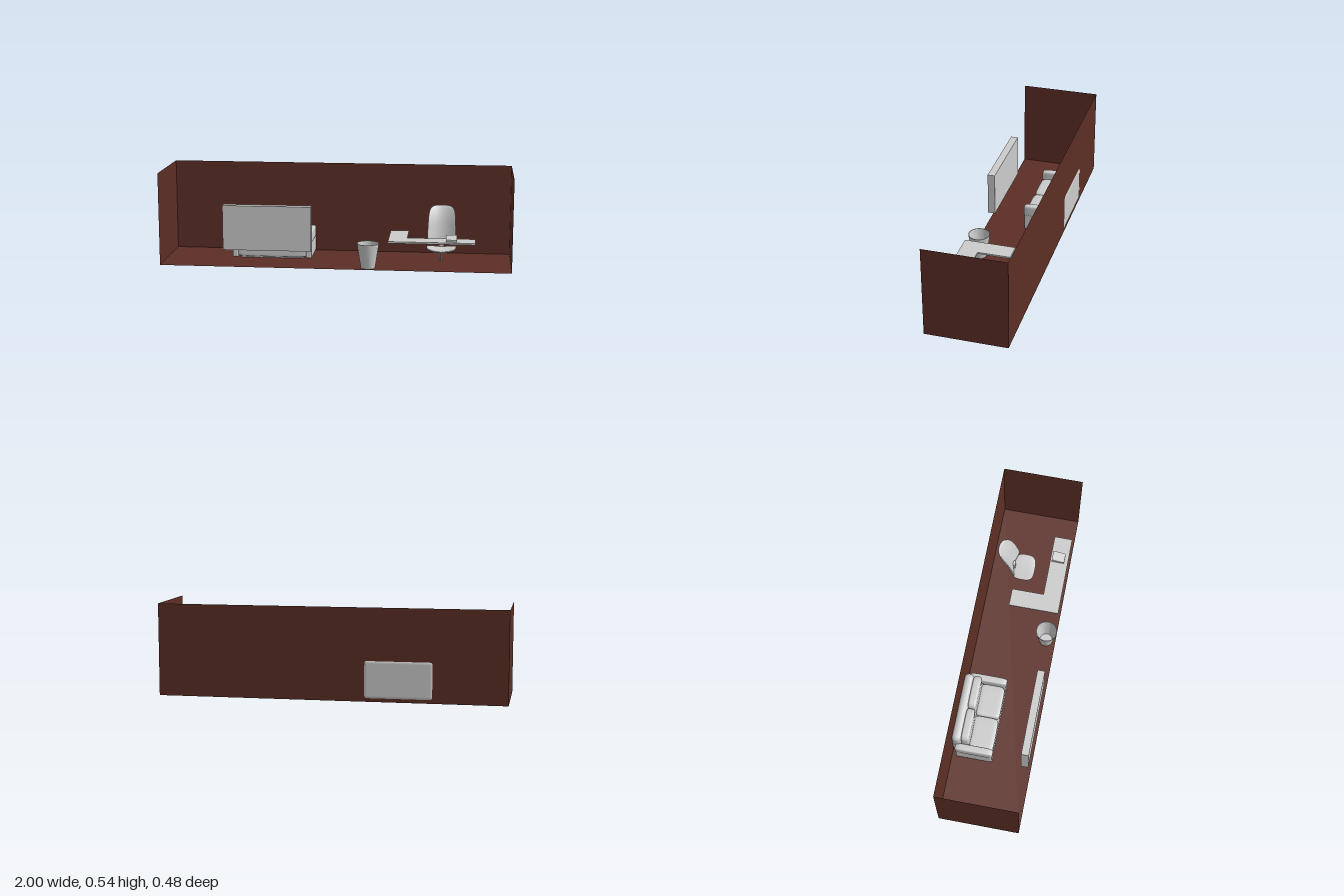
import * as THREE from 'three';
import { mergeVertices, toCreasedNormals } from 'three/addons/utils/BufferGeometryUtils.js';
import { RoundedBoxGeometry } from 'three/addons/geometries/RoundedBoxGeometry.js';

const grey = new THREE.MeshStandardMaterial({ color: 0xcccccc });
const greyOpen = new THREE.MeshStandardMaterial({ color: 0xcccccc, side: THREE.DoubleSide });
const brown = new THREE.MeshStandardMaterial({ color: 0x5c2e25, side: THREE.DoubleSide });

function add(parent, name, geometry, material = grey) {
  const mesh = new THREE.Mesh(geometry, material);
  mesh.name = name;
  parent.add(mesh);
  return mesh;
}

// Box given by its limits; a radius rounds the edges
function block(parent, name, [x0, x1], [y0, y1], [z0, z1], radius = 0) {
  const size = [x1 - x0, y1 - y0, z1 - z0];
  const geometry = radius
    ? new RoundedBoxGeometry(...size, 4, radius)
    : new THREE.BoxGeometry(...size);
  const mesh = add(parent, name, geometry);
  mesh.position.set((x0 + x1) / 2, (y0 + y1) / 2, (z0 + z1) / 2);
  return mesh;
}

// Soft pad: a cube rounded into a superellipsoid, then placed by a rule
function pad(parent, name, power, place) {
  const geometry = new THREE.BoxGeometry(2, 2, 2, 14, 14, 14);
  const pos = geometry.attributes.position;
  const p = new THREE.Vector3();
  for (let i = 0; i < pos.count; i++) {
    p.fromBufferAttribute(pos, i);
    const sum = p.toArray().reduce((s, c) => s + Math.abs(c) ** power, 0);
    p.multiplyScalar(sum ** (-1 / power));
    pos.setXYZ(i, ...place(p.x, p.y, p.z));
  }
  geometry.deleteAttribute('normal');
  geometry.deleteAttribute('uv');
  const smooth = mergeVertices(geometry, 1e-6);
  smooth.computeVertexNormals();
  return add(parent, name, smooth);
}

// Pad filling a box given by its limits
function cushion(parent, name, [x0, x1], [y0, y1], [z0, z1], power = 7) {
  const mix = (a, b, t) => (a + b) / 2 + ((b - a) / 2) * t;
  return pad(parent, name, power, (x, y, z) => [mix(x0, x1, x), mix(y0, y1, y), mix(z0, z1, z)]);
}

function makeRoom() {
  const room = new THREE.Group();
  room.name = 'room';
  const floorY = 0.005, top = 0.537, back = -0.235, front = 0.232;
  const h = top - floorY, d = front - back, midY = (top + floorY) / 2, midZ = (front + back) / 2;
  const floor = add(room, 'floor', new THREE.PlaneGeometry(2, d), brown);
  floor.rotation.x = -Math.PI / 2;
  floor.position.set(0, floorY, midZ);
  add(room, 'backWall', new THREE.PlaneGeometry(2, h), brown).position.set(0, midY, back);
  for (const side of [-1, 1]) {
    const wall = add(room, side > 0 ? 'leftWall' : 'rightWall', new THREE.PlaneGeometry(d, h), brown);
    wall.rotation.y = (-side * Math.PI) / 2;
    wall.position.set(side, midY, midZ);
  }
  return room;
}

function makeSofa() {
  const sofa = new THREE.Group();
  sofa.name = 'sofa';
  const half = 0.205;
  block(sofa, 'sofaBase', [-0.185, 0.185], [0, 0.07], [-0.2, -0.012]);
  cushion(sofa, 'sofaFrontRail', [-half, half], [0.012, 0.075], [-0.06, 0], 8);
  block(sofa, 'sofaBack', [-half, half], [0.012, 0.25], [-0.239, -0.18], 0.028);
  for (const side of [-1, 1]) {
    // Arm: flat panel under a padded roll
    const span = (a, b) => (side > 0 ? [a, b] : [-b, -a]);
    block(sofa, 'sofaArm', span(0.2, 0.234), [0.007, 0.15], [-0.212, 0], 0.008);
    cushion(sofa, 'sofaArmPad', span(0.195, 0.238), [0.1, 0.168], [-0.216, 0.005], 6);
    cushion(sofa, 'sofaSeatCushion', span(0.001, 0.196), [0.068, 0.125], [-0.145, 0], 7);
    cushion(sofa, 'sofaBackCushion', span(0.001, 0.198), [0.11, 0.255], [-0.186, -0.135], 6);
  }
  sofa.position.x = -0.387;
  return sofa;
}

function makeChair() {
  const chair = new THREE.Group();
  chair.name = 'chair';
  // Dished seat
  pad(chair, 'chairSeat', 3.2, (x, y, z) => [
    0.085 * x, 0.07 + 0.009 * y + 0.013 * x * x, -0.038 + 0.067 * z,
  ]);
  // Reclined back that wraps forward at the sides
  pad(chair, 'chairBack', 5, (x, y, z) => [
    (0.081 - 0.005 * y) * x,
    0.198 + 0.107 * y,
    -0.138 - 0.033 * y - 0.018 * Math.max(0, y) ** 2 + 0.03 * x * x + 0.009 * z,
  ]);
  block(chair, 'chairBackBracket', [-0.015, 0.015], [0.066, 0.12], [-0.118, -0.09]);
  const stem = add(chair, 'chairStem', new THREE.CylinderGeometry(0.005, 0.005, 0.06, 16));
  stem.position.set(0, 0.036, -0.04);
  chair.position.x = 0.6;
  return chair;
}

function makeDesk() {
  const desk = new THREE.Group();
  desk.name = 'desk';
  // L-shaped top, drawn in x and -z
  const shape = new THREE.Shape([
    [0.305, -0.222], [0.795, -0.222], [0.795, -0.115],
    [0.41, -0.115], [0.41, 0.075], [0.305, 0.075],
  ].map(([x, y]) => new THREE.Vector2(x, y)));
  const top = add(desk, 'deskTop', new THREE.ExtrudeGeometry(shape, { depth: 0.01, bevelEnabled: false }));
  top.rotation.x = -Math.PI / 2;
  top.position.y = 0.16;
  // Small wedge-shaped device, higher at the back
  const wedge = new THREE.Shape([
    [-0.2, 0.17], [-0.125, 0.17], [-0.125, 0.195], [-0.2, 0.181],
  ].map(([x, y]) => new THREE.Vector2(x, y)));
  const device = add(desk, 'deskDevice', new THREE.ExtrudeGeometry(wedge, { depth: 0.06, bevelEnabled: false }));
  device.rotation.y = Math.PI / 2;
  device.position.x = 0.63;
  return desk;
}

function makeBin() {
  const profile = [
    [0, 0], [0.04, 0], [0.063, 0.148], [0.06, 0.148], [0.037, 0.008], [0, 0.008],
  ].map(([r, y]) => new THREE.Vector2(r, y));
  const bin = new THREE.Mesh(toCreasedNormals(new THREE.LatheGeometry(profile, 32), 0.6), greyOpen);
  bin.name = 'wasteBin';
  bin.position.set(0.19, 0, 0.174);
  return bin;
}

export function createModel() {
  const model = new THREE.Group();
  model.name = 'officeRoom';
  model.add(makeRoom(), makeSofa(), makeChair(), makeDesk(), makeBin());
  // Hanging board at the front
  block(model, 'board', [-0.635, -0.13], [0.1, 0.357], [0.175, 0.218]);
  return model;
}
